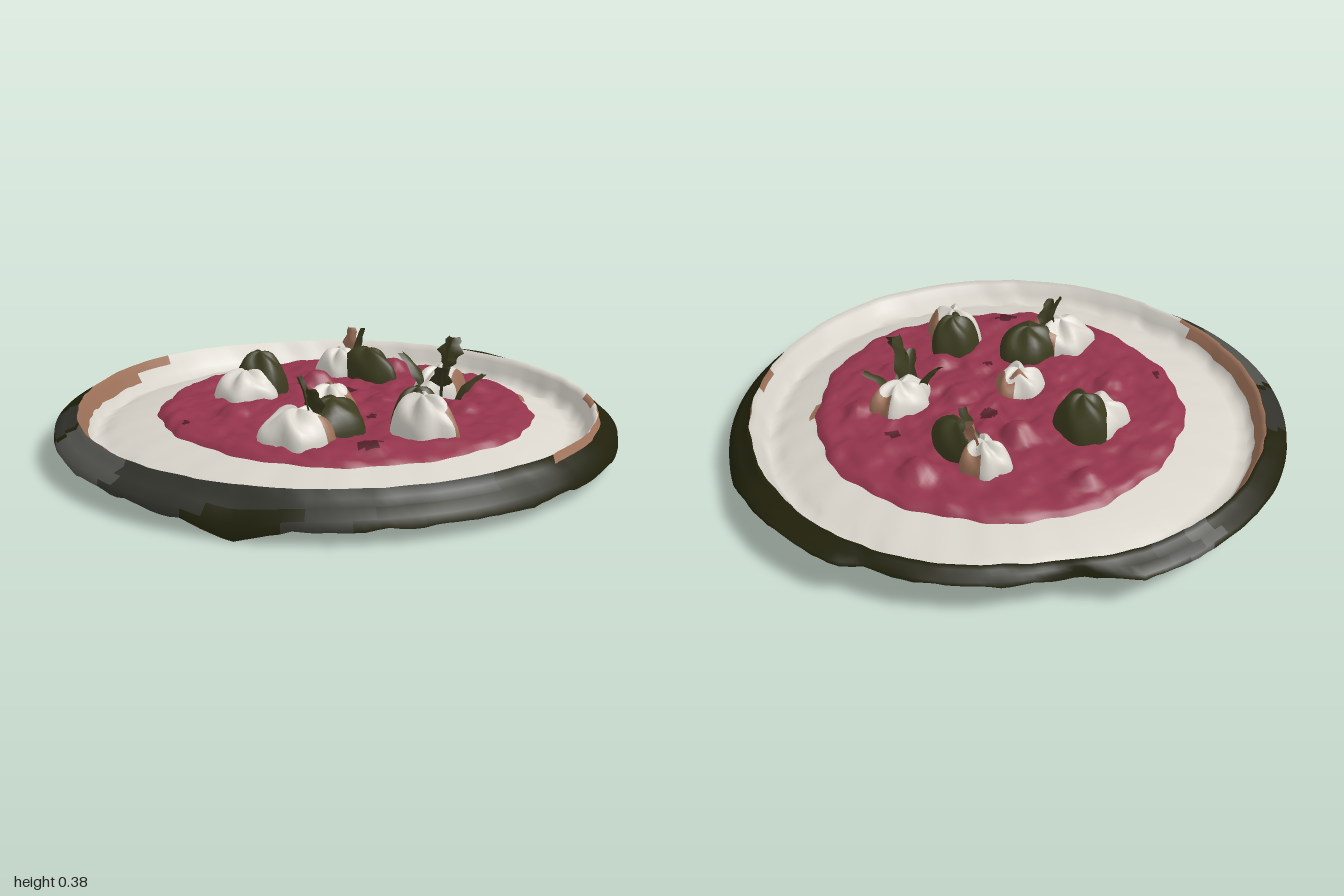
import * as THREE from 'three';

const mat = (name, color) => {
  const m = new THREE.MeshStandardMaterial({ color, side: THREE.DoubleSide });
  m.name = name;
  return m;
};
const M = [
  mat('white', 0xd8d4cb), mat('soupRed', 0x93344b), mat('darkOlive', 0x20200b), mat('leafGreen', 0x3c3b1f),
  mat('brown', 0x9c7058), mat('grey', 0x50504b), mat('darkGrey', 0x32322c), mat('spotRed', 0x521d26),
];
const [WHITE, RED, OLIVE, GREEN, BROWN, GREY, DARK, SPOT] = M.keys();
const TAU = Math.PI * 2;

// Smooth repeatable bumps, about -1..1
const noise = (x, z) =>
  (Math.sin(x * 23 + 2 * Math.sin(z * 17)) + Math.sin(z * 29 + 1.7 * Math.sin(x * 19 + 1)) + Math.sin((x - z) * 31 + 2 * Math.sin((x + z) * 27))) / 3;

// Linear interpolation through [key, value] pairs
function lerpKeys(keys, a) {
  for (let i = 1; i < keys.length; i++) {
    const [a0, v0] = keys[i - 1], [a1, v1] = keys[i];
    if (a <= a1) return v0 + (v1 - v0) * (a - a0) / (a1 - a0);
  }
  return keys[keys.length - 1][1];
}

// Polar sheet: point(ring, angle) places vertices, pick(x, y, z, ring, angle) colours a face (-1 leaves a hole)
function sheet(name, rings, segs, point, pick) {
  const pos = [], byMat = M.map(() => []);
  for (let i = 0; i <= rings; i++)
    for (let j = 0; j < segs; j++) pos.push(...point(i, j / segs * TAU));
  for (let i = 0; i < rings; i++)
    for (let j = 0; j < segs; j++) {
      const k = (j + 1) % segs;
      const a = i * segs + j, c = i * segs + k, b = a + segs, d = c + segs;
      const mid = [0, 1, 2].map(n => (pos[a * 3 + n] + pos[d * 3 + n]) / 2);
      const m = pick(...mid, i, (j + 0.5) / segs * TAU);
      if (m >= 0) byMat[m].push(a, c, b, c, d, b);
    }
  const g = new THREE.BufferGeometry();
  g.setAttribute('position', new THREE.Float32BufferAttribute(pos, 3));
  g.setIndex(byMat.flat());
  let start = 0;
  byMat.forEach((f, m) => { if (f.length) g.addGroup(start, f.length, m); start += f.length; });
  g.computeVertexNormals();
  const mesh = new THREE.Mesh(g, M);
  mesh.name = name;
  return mesh;
}

// Outer radius and height of the rim's edge by angle in degrees (0 = +x, 90 = +z)
const EDGE_R = [[0, 1], [90, 0.98], [180, 1], [270, 0.98], [288, 0.985], [299, 0.9], [314, 0.93],
  [330, 0.955], [341, 0.955], [345, 0.995], [360, 1]];
const EDGE_Y = [[0, 0.13], [12, 0.11], [22, 0.05], [90, 0.05], [130, 0.05], [150, 0.04], [161, 0.0],
  [171, 0.05], [180, 0.06], [210, 0.08], [240, 0.09], [270, 0.11], [360, 0.13]];
const soupEdge = t => 0.655 + 0.006 * Math.sin(5 * t + 1) + 0.006 * Math.sin(13 * t) + 0.004 * Math.sin(31 * t);
const SOUP = [0.015, 0.03];

// Dumplings: x, z, radius x, radius z, top height
const LUMPS = [
  [-0.14, -0.3, 0.115, 0.105, 0.245], [0.31, -0.22, 0.08, 0.09, 0.25], [-0.09, 0.04, 0.09, 0.09, 0.235],
  [-0.43, 0.17, 0.12, 0.12, 0.25], [0.29, 0.24, 0.12, 0.08, 0.25], [-0.14, 0.46, 0.085, 0.115, 0.28],
];
// Wilted leaves on the dumplings
const LEAVES = [
  [-0.07, -0.3, 0.09, 0.105, 0.3], [0.32, -0.1, 0.065, 0.13, 0.27], [-0.29, 0.2, 0.125, 0.105, 0.26],
  [-0.1, 0.41, 0.095, 0.085, 0.29],
];
// Small bumps in the soup: x, z, radius, height
const BUMPS = [[0.12, -0.51, 0.06, 0.04], [0.5, -0.1, 0.07, 0.045], [0.12, -0.19, 0.07, 0.045], [-0.35, -0.17, 0.06, 0.035],
  [0, 0.36, 0.06, 0.025], [0.17, 0.42, 0.07, 0.035], [0.42, 0.32, 0.06, 0.03], [-0.38, 0.4, 0.08, 0.025], [0.1, 0.14, 0.07, 0.025]];
const SPOTS = [[0.11, -0.02, 0.035], [-0.38, 0.42, 0.04], [0.42, 0.13, 0.025], [-0.11, 0.23, 0.02], [-0.52, -0.24, 0.02]];

function plate() {
  const point = (i, t) => {
    const deg = t / TAU * 360, R = lerpKeys(EDGE_R, deg), eY = lerpKeys(EDGE_Y, deg);
    const c = Math.cos(t), s = Math.sin(t), n = noise(c, s), e = soupEdge(t);
    // The dish pulls in slightly beside the chipped edge
    const rim = Math.min(0.91 - 0.03 * Math.exp(-(((deg - 308) / 20) ** 2)) + 0.005 * n, R - 0.015);
    const top = 0.157 - 0.015 * Math.max(0, -c) + 0.012 * Math.max(0, -s);
    const rows = [
      [e, 0.125], [e + 0.03, 0.117], [e + 0.11, 0.097], [0.81, 0.078], [rim - 0.055, 0.064 + 0.014 * n],
      [rim - 0.034, 0.1 + 0.006 * n], [rim - 0.014, 0.135], [rim, top], [rim + 0.01, top + (eY - top) * 0.27],
      [rim + (R - rim) * 0.55, top + (eY - top) * 0.42], [R - 0.004, top + (eY - top) * 0.68], [R, eY + 0.008 * n],
    ];
    const [r, y] = rows[i], k = Math.max(0, 1 - i / 3);
    return [r * c + SOUP[0] * k, Math.max(0, y), r * s + SOUP[1] * k];
  };
  const pick = (x, y, z, i, t) => {
    const d = t / TAU * 360;
    // Browned streaks on the wall, the rim and beside the soup
    if (i >= 5 && i <= 6 && d > 181 + 4 * (6 - i) && d < 274 - 12 * (6 - i)) return BROWN;
    if (i === 7 && d > 38 && d < 96) return BROWN;
    if (i === 6 && d > 48 && d < 56) return BROWN;
    if (i === 0 && d > 36 && d < 45) return BROWN;
    if (i < 7) return WHITE;
    // Worn patches on the dark rim, with ragged ends
    const w = d + 2 * Math.sin(i * 2.3);
    if ((w > 188 && w < 213) || (w > 270 && w < 276)) return GREY;
    if ((w > 138 && w < 150) || (w > 168 && w < 188) || (w > 216 && w < 232) || (w > 276 && w < 283)) return DARK;
    return i < 9 && w > 112 && w < 168 ? DARK : OLIVE;
  };
  return sheet('plate', 11, 180, point, pick);
}

function soup() {
  const rings = 52;
  const point = (i, t) => {
    const u = i / rings, r = soupEdge(t) * u;
    const x = SOUP[0] + r * Math.cos(t), z = SOUP[1] + r * Math.sin(t);
    let y = 0.16 - 0.014 * u * u + 0.011 * noise(x, z) + 0.005 * noise(z * 2 + 1, x * 2);
    for (const [bx, bz, br, h] of BUMPS) y += h * Math.max(0, 1 - ((x - bx) ** 2 + (z - bz) ** 2) / br ** 2);
    return [x, u > 0.94 ? 0.125 + (y - 0.125) * Math.sqrt((1 - u) / 0.06) : y, z];
  };
  const pick = (x, y, z) => {
    // Open beneath the hollow toppings
    if ([...LUMPS, ...LEAVES].some(([a, b, rx, rz]) => ((x - a) / rx) ** 2 + ((z - b) / rz) ** 2 < 0.75)) return -1;
    return SPOTS.some(([a, b, r]) => Math.hypot(x - a, (z - b) * 1.3) < r) ? SPOT : RED;
  };
  return sheet('soup', rings, 160, point, pick);
}

// Hollow lumpy mound
function mound(name, [cx, cz, rx, rz, top], lumpy, pick) {
  const rings = 9, base = 0.14;
  return sheet(name, rings, 32, (i, t) => {
    const a = i / rings * Math.PI / 2;
    const c = Math.cos(t), s = Math.sin(t);
    const k = Math.sin(a) * (1 + lumpy * (Math.sin(5 * t + cx * 40) + 0.6 * Math.sin(3 * t + cz * 50)));
    const wobble = 1 + 1.6 * lumpy * Math.sin(2 * a) * Math.sin(4 * t + cx * 30 + 3 * a);
    const y = base + (top - base) * Math.pow(Math.cos(a), 0.9) * wobble;
    return [cx + rx * k * c, i === rings ? base : y, cz + rz * k * s];
  }, pick);
}

// Curled upright leaf: base point, heading, length, width, outward lean
function blade([x, y, z, heading, len, width, lean], colour) {
  const g = new THREE.PlaneGeometry(1, 1, 4, 8), p = g.attributes.position;
  for (let i = 0; i < p.count; i++) {
    const u = p.getX(i), v = p.getY(i) + 0.5;
    const w = width * (0.3 + 0.7 * Math.sin(Math.PI * Math.min(1, v * 0.95))) * (1 + 0.25 * Math.sin(v * 15));
    p.setXYZ(i, u * w, v * len, lean * v * v + u * u * width * 0.9);
  }
  g.computeVertexNormals();
  const m = new THREE.Mesh(g, M[colour]);
  m.position.set(x, y, z);
  m.rotation.y = heading;
  m.name = 'uprightLeaf';
  return m;
}

export function createModel() {
  const model = new THREE.Group();
  model.name = 'plateOfSoup';
  model.add(plate(), soup());
  // Dumplings, browned low on the front and left sides
  LUMPS.forEach((l, n) => model.add(mound('dumpling', l, 0.1, (x, y, z, i, t) => {
    const side = (t + 0.6) % TAU < 2.1;
    return (side && i > 3 && n > 0) || (n === 2 && i < 3 && t > 4.8) ? BROWN : WHITE;
  })));
  LEAVES.forEach(l => model.add(mound('wiltedLeaf', l, 0.05, () => GREEN)));
  // Upright sprigs
  const sprigs = [
    [0.22, 0.14, 0.29, 0.3, 0.24, 0.08, 0.03], [0.24, 0.14, 0.28, 2.2, 0.15, 0.07, -0.1],
    [0.21, 0.17, 0.24, 3.3, 0.14, 0.07, 0.09], [0.26, 0.14, 0.33, 0.9, 0.1, 0.06, 0.1],
    [0.21, 0.28, 0.32, 1.6, 0.1, 0.09, 0.04],
    [-0.4, 0.2, 0.19, 0.4, 0.15, 0.06, -0.04], [-0.38, 0.19, 0.2, 1.9, 0.13, 0.06, -0.05],
    [0.31, 0.2, -0.16, 0.2, 0.14, 0.06, 0.03],
  ];
  sprigs.forEach(s => model.add(blade(s, GREEN)));
  // Browned crust peak
  model.add(blade([0.33, 0.2, -0.2, 1.5, 0.13, 0.07, 0.01], BROWN));
  return model;
}
